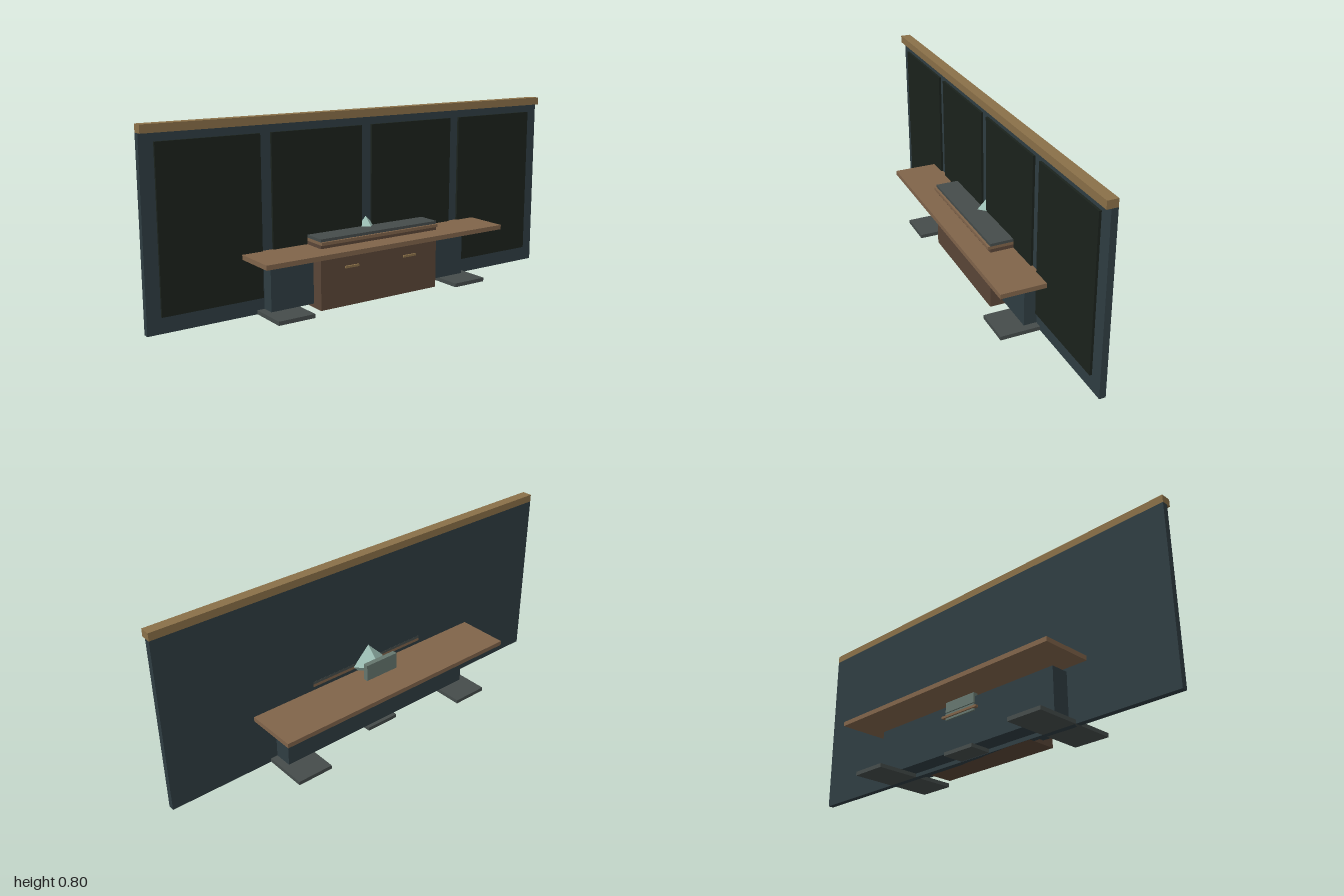
import * as THREE from 'three';

const C = {
  wall: 0x2f3d42, glass: 0x1b221c, trim: 0x8a7048, wood: 0x80644a,
  cabinet: 0x5a4637, slate: 0x454c4b, screen: 0x65766e, crystal: 0x9dbfb5,
};
const mats = {};
for (const key in C) mats[key] = new THREE.MeshStandardMaterial({ color: C[key], flatShading: true });

export function createModel() {
  const model = new THREE.Group();

  // box given by its min/max extents on each axis
  const box = (name, mat, [x0, x1], [y0, y1], [z0, z1]) => {
    const mesh = new THREE.Mesh(new THREE.BoxGeometry(x1 - x0, y1 - y0, z1 - z0), mats[mat]);
    mesh.position.set((x0 + x1) / 2, (y0 + y1) / 2, (z0 + z1) / 2);
    mesh.name = name;
    model.add(mesh);
    return mesh;
  };

  // back wall with top trim and four dark panels
  box('wall', 'wall', [-1, 1], [0, 0.767], [0, 0.027]);
  box('wallTrim', 'trim', [-1, 1], [0.767, 0.8], [0, 0.046]);
  for (const x of [-0.725, -0.242, 0.242, 0.725]) {
    box('wallPanel', 'glass', [x - 0.217, x + 0.217], [0.067, 0.733], [0.027, 0.037]);
  }

  // desk top and its base
  box('deskTop', 'wood', [-0.6, 0.6], [0.24, 0.26], [-0.233, 0.233]);
  box('deskBase', 'wall', [-0.5, 0.5], [0.017, 0.225], [-0.083, 0.083]);

  // central cabinet, lip and slab
  box('cabinet', 'cabinet', [-0.3, 0.3], [0, 0.275], [0.002, 0.14]);
  box('counterLip', 'wood', [-0.3, 0.3], [0.275, 0.288], [-0.0005, 0.15]);
  box('counterSlab', 'slate', [-0.3, 0.3], [0.288, 0.3], [-0.0005, 0.14]);

  // mirrored feet and cabinet handles
  for (const s of [-1, 1]) {
    box('foot', 'slate', [s * 0.45 - 0.083, s * 0.45 + 0.083], [0, 0.017], [-0.2, 0.2]);
    box('handle', 'trim', [s * 0.15 - 0.033, s * 0.15 + 0.033], [0.163, 0.172], [0.14, 0.148]);
  }
  box('centreFoot', 'slate', [-0.08, 0.08], [0.001, 0.017], [-0.1, 0.1]);

  // screen at the back, drawer and drawer pull under it
  box('screen', 'screen', [-0.083, 0.083], [0.195, 0.335], [-0.092, -0.069]);
  box('drawer', 'screen', [-0.083, 0.083], [0.161, 0.191], [-0.092, -0.08]);
  box('drawerPull', 'wood', [-0.1, 0.1], [0.17, 0.18], [-0.099, -0.083]);

  // faceted crystal
  const crystal = new THREE.Mesh(new THREE.OctahedronGeometry(0.083), mats.crystal);
  crystal.position.y = 0.284;
  crystal.name = 'crystal';
  model.add(crystal);

  return model;
}
